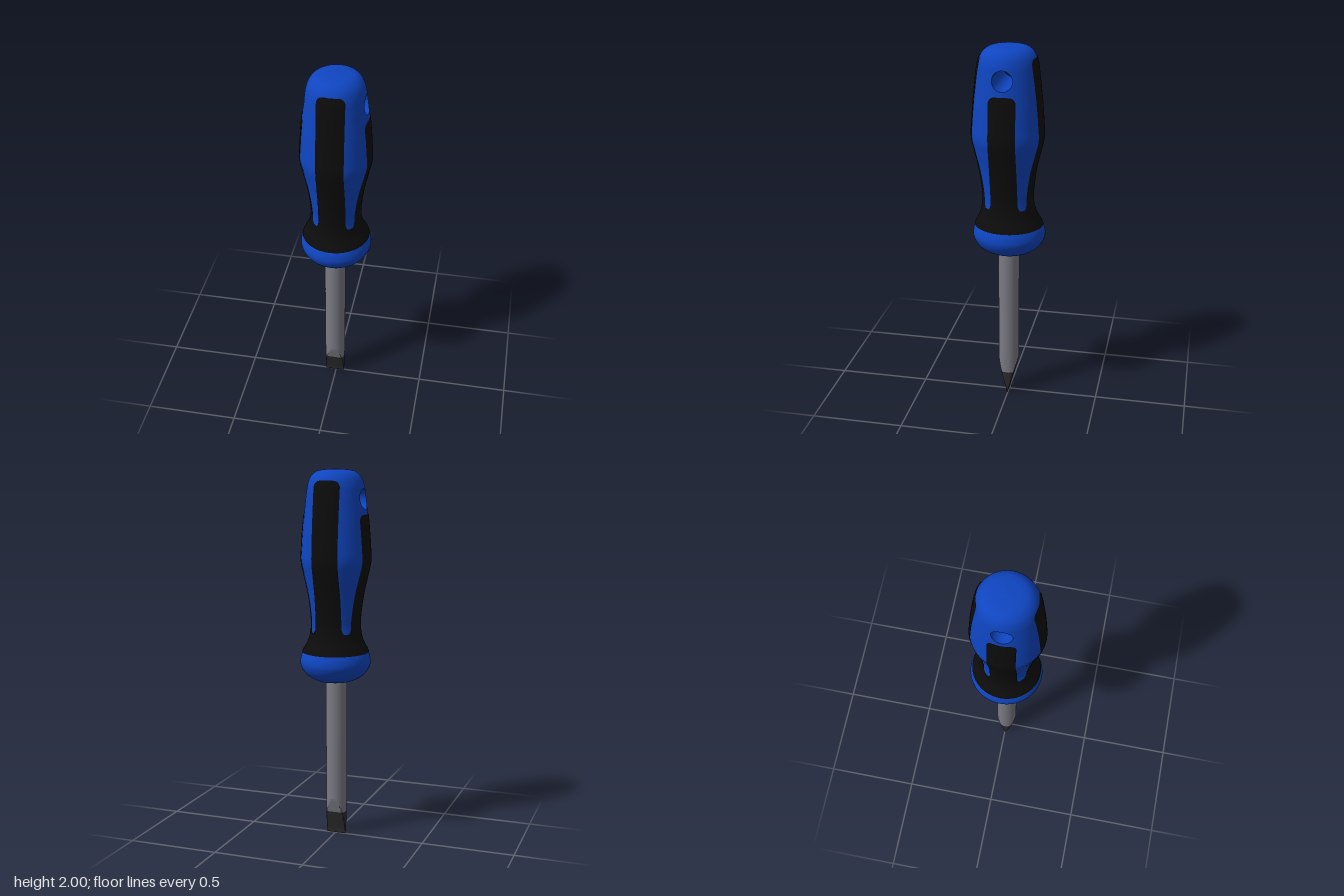
import * as THREE from 'three';
import { mergeGeometries, toCreasedNormals } from 'three/addons/utils/BufferGeometryUtils.js';

const material = (name, color, side = THREE.FrontSide) => {
  const m = new THREE.MeshStandardMaterial({ color, side });
  m.name = name;
  return m;
};

// Handle profile: radius, height, forward shift of the section
const profile = new THREE.CatmullRomCurve3([
  [0.05, 0.87, 0], [0.1, 0.876, 0], [0.16, 0.913, 0], [0.188, 0.963, 0], [0.187, 1.0, 0],
  [0.172, 1.04, 0.002], [0.142, 1.1, 0.004], [0.13, 1.17, 0.006], [0.134, 1.25, 0.007],
  [0.148, 1.35, 0.008], [0.17, 1.45, 0.008], [0.184, 1.52, 0.008], [0.181, 1.6, 0.008],
  [0.174, 1.7, 0.008], [0.164, 1.8, 0.008], [0.156, 1.87, 0.008], [0.148, 1.92, 0.007],
  [0.132, 1.96, 0.005], [0.103, 1.987, 0.003], [0.055, 1.998, 0.002], [0, 2.0, 0.002],
].map(p => new THREE.Vector3(...p))).getPoints(120);
const DEPTH = 1.03;              // sections are slightly deeper than wide
const HOLE = { y: 1.845, r: 0.053 };

function section(y) {
  const i = profile.findIndex(p => p.y >= y);
  if (i < 0) return profile[profile.length - 1];
  if (i === 0) return profile[0];
  const a = profile[i - 1], b = profile[i];
  return a.clone().lerp(b, (y - a.y) / (b.y - a.y));
}

// Surface through rows of [angle, height, offset] laid on the handle
function surface(rows) {
  const pos = [], nor = [], index = [], n = rows[0].length;
  rows.forEach((row, i) => row.forEach(([a, y, offset = 0], j) => {
    const s = section(y), e = 0.003;
    const slope = (section(y + e).x - section(y - e).x) / (2 * e);
    const normal = new THREE.Vector3(Math.sin(a), -slope, Math.cos(a) / DEPTH).normalize();
    const p = new THREE.Vector3(s.x * Math.sin(a), y, s.z + DEPTH * s.x * Math.cos(a));
    p.addScaledVector(normal, offset);
    pos.push(p.x, p.y, p.z);
    nor.push(normal.x, normal.y, normal.z);
    if (i && j) {
      const d = i * n + j, c = d - 1, b = d - n, q = b - 1;
      index.push(q, b, d, q, d, c);
    }
  }));
  const g = new THREE.BufferGeometry();
  g.setAttribute('position', new THREE.Float32BufferAttribute(pos, 3));
  g.setAttribute('normal', new THREE.Float32BufferAttribute(nor, 3));
  g.setIndex(index);
  return g;
}

const range = (a, b) => Array.from({ length: b - a + 1 }, (_, i) => a + i);

// Handle body with a window on each side, filled by a patch around the hanging hole
function handleBody() {
  const cols = 64, half = 5, last = profile.length - 1;
  const low = profile.findIndex(p => p.y > 1.77);
  const high = profile.findIndex(p => p.y > 1.91);
  const at = (i, j) => [j / cols * Math.PI * 2, profile[i].y];
  const block = (i0, i1, j0, j1) =>
    surface(range(i0, i1).map(i => range(j0, j1).map(j => at(i, j))));
  const parts = [block(0, low, 0, cols), block(high, last, 0, cols)];
  for (const mid of [cols / 4, cols * 3 / 4]) {
    const l = mid - half, r = mid + half;
    parts.push(block(low, high, r, l + (mid === cols / 4 ? cols / 2 : cols / 2)));
    const rim = [
      ...range(l, r).map(j => at(low, j)),
      ...range(low + 1, high).map(i => at(i, r)),
      ...range(l, r - 1).reverse().map(j => at(high, j)),
      ...range(low, high - 1).reverse().map(i => at(i, l)),
    ];
    const centre = mid / cols * Math.PI * 2;
    parts.push(surface(range(0, 5).map(k => rim.map(([a, y]) => {
      const phi = Math.atan2(y - HOLE.y, (a - centre) * 0.165);
      const hy = HOLE.y + HOLE.r * Math.sin(phi);
      const ha = centre + Math.asin(HOLE.r * Math.cos(phi) / (DEPTH * section(hy).x));
      return [a + (ha - a) * k / 5, y + (hy - y) * k / 5];
    }))));
  }
  return mergeGeometries(parts);
}

// Wall of the hanging hole, its ends following the handle surface
function holeWall() {
  const g = new THREE.CylinderGeometry(HOLE.r, HOLE.r, 2, 48, 1, true).rotateZ(Math.PI / 2);
  const p = g.attributes.position;
  for (let i = 0; i < p.count; i++) {
    const y = HOLE.y + p.getY(i), s = section(y), z = p.getZ(i);
    const x = s.x * Math.sqrt(1 - (z / (DEPTH * s.x)) ** 2);
    p.setXYZ(i, Math.sign(p.getX(i)) * x, y, s.z + z);
  }
  return g;
}

// Grip strip with a rounded top, flaring into the collar at its foot
function gripStrip(centre, top, depth) {
  const rows = range(0, 60).map(i => {
    const y = 1.05 + (top - 1.05) * (1 - (1 - i / 60) ** 1.5);
    const t = Math.max(0, (y - top + 0.035) / 0.035);
    const foot = Math.min(1, Math.max(0, (1.175 - y) / 0.04));
    const w = 0.07 - 0.035 * (1 - Math.sqrt(Math.max(0, 1 - t * t))) + 0.016 * foot * foot;
    const a = Math.asin(w / (section(y).x * depth));
    const row = range(0, 14).map(j => [centre + a * (j / 7 - 1), y, 0.004]);
    return [[row[0][0], y, -0.002], ...row, [row[14][0], y, -0.002]];
  });
  rows.push(rows[60].map(([a, y]) => [a, y, -0.002]));
  return surface(rows);
}

// Rubber collar above the flange
function gripCollar() {
  const rows = range(0, 14).map(i => range(0, 64).map(j => {
    const offset = i === 0 || i === 14 ? -0.002 : 0.004;
    const k = Math.min(12, Math.max(0, i - 1)) / 12;
    return [j / 32 * Math.PI, 1.03 + 0.11 * k, offset];
  }));
  return surface(rows);
}

// Length of the blade, its round section cut by two planes meeting at the edge
function blade(y0, y1) {
  const R = 0.057, start = 0.21;
  const g = new THREE.CylinderGeometry(R, R, y1 - y0, 48, 8).translate(0, (y0 + y1) / 2, 0);
  const p = g.attributes.position;
  for (let i = 0; i < p.count; i++) {
    const k = p.getY(i) / start, h = Math.max(0.002, R * k);
    p.setX(i, p.getX(i) * (0.93 + 0.07 * k));
    p.setZ(i, THREE.MathUtils.clamp(p.getZ(i), -h, h));
  }
  return toCreasedNormals(g, 0.4);
}

export function createModel() {
  const blue = material('blue plastic', 0x0f45c0, THREE.DoubleSide);
  const black = material('black rubber', 0x0c0c0c, THREE.DoubleSide);
  const steel = material('grey steel', 0x7a7a84);
  const dark = material('dark tip steel', 0x2c2c2c);

  const model = new THREE.Group();
  model.name = 'screwdriver';
  const add = (parent, name, geometry, mat) => {
    const mesh = new THREE.Mesh(geometry, mat);
    mesh.name = name;
    parent.add(mesh);
    return mesh;
  };

  const handle = new THREE.Group();
  handle.name = 'handle';
  add(handle, 'handleBody', handleBody(), blue);
  add(handle, 'hangingHole', holeWall(), blue);
  add(handle, 'gripCollar', gripCollar(), black);
  add(handle, 'frontGrip', gripStrip(0, 1.94, 1), black);
  add(handle, 'backGrip', gripStrip(Math.PI, 1.94, 1), black);
  add(handle, 'leftGrip', gripStrip(Math.PI / 2, 1.765, DEPTH), black);
  add(handle, 'rightGrip', gripStrip(-Math.PI / 2, 1.765, DEPTH), black);

  const shaft = new THREE.Group();
  shaft.name = 'shaft';
  shaft.position.set(-0.005, 0, 0.003);
  const rod = new THREE.CylinderGeometry(0.057, 0.057, 0.69, 48).translate(0, 0.555, 0);
  add(shaft, 'rod', rod, steel);
  add(shaft, 'bladeTaper', blade(0.13, 0.21), steel);
  add(shaft, 'bladeTip', blade(0, 0.13), dark);

  model.add(handle, shaft);
  return model;
}
